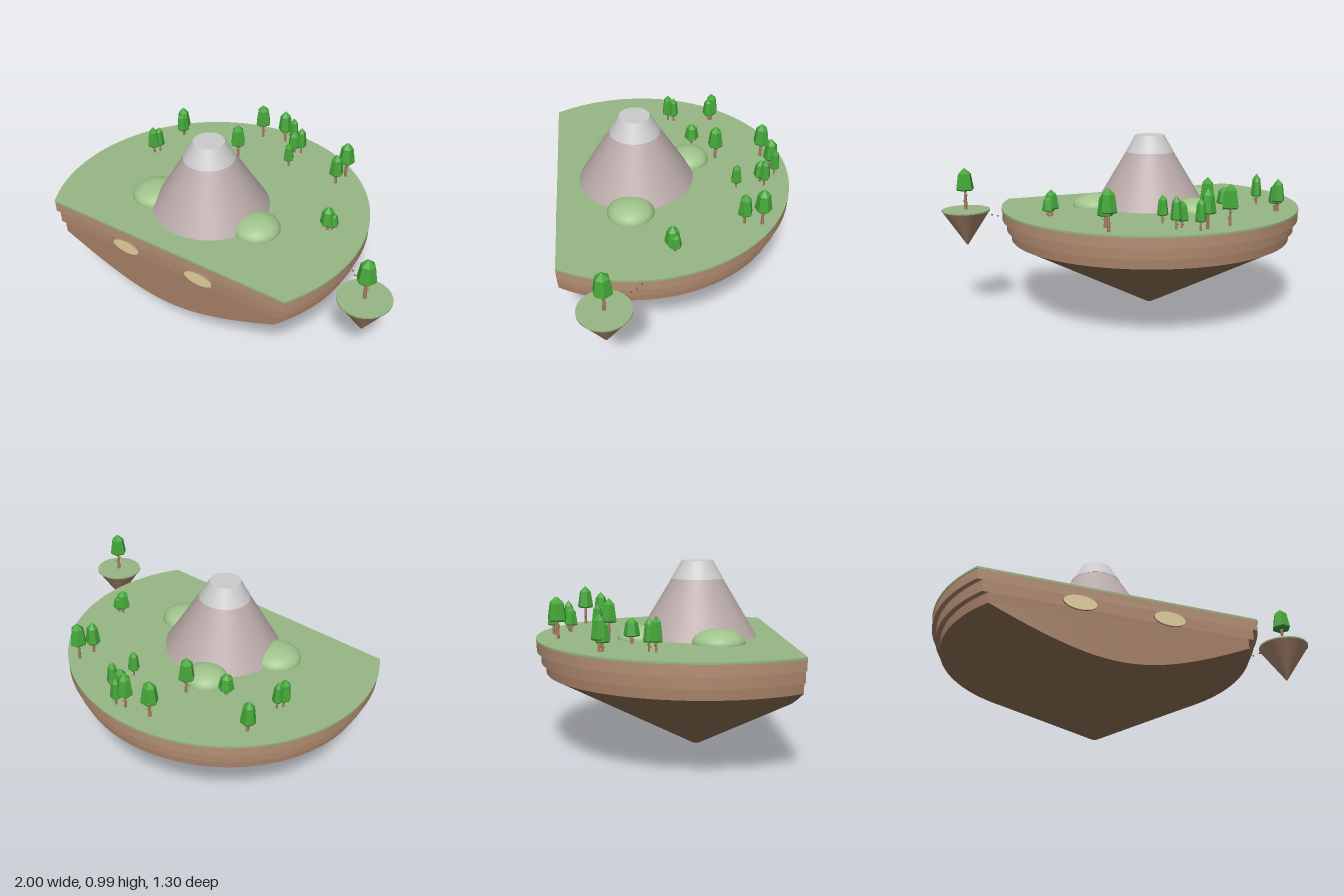
import * as THREE from 'three';
import { toCreasedNormals } from 'three/addons/utils/BufferGeometryUtils.js';

const CX = -0.155, CZ = 0.2; // axis of the main island
const CUT = 0.44;            // distance from the axis to the flat front
const TOP = 0.59;            // ground level

const paint = (color, opts = {}) => {
  const m = new THREE.MeshStandardMaterial(opts);
  m.color.set(color);
  return m;
};
const mats = {
  grass: paint(0x96b784),
  bush: paint(0xa0c48c),
  soil: [paint(0xb48f74), paint(0xad886d), paint(0xa58066)],
  rock: paint(0x957559),
  volcano: paint(0xb9aaa8),
  cap: paint(0xc0c0c0),
  trunk: paint(0xa87c62, { flatShading: true }),
  leaf: paint(0x45a83a, { flatShading: true }),
  pane: paint(0xe3d0a0),
  stone: paint(0x6e6258),
};

function add(parent, name, geometry, material, x = 0, y = 0, z = 0) {
  const mesh = new THREE.Mesh(geometry, material);
  mesh.name = name;
  mesh.position.set(x, y, z);
  parent.add(mesh);
  return mesh;
}

// Disc with a flat front, standing on y = 0
function cutDisc(radius, height) {
  const a = Math.asin(CUT / radius);
  const shape = new THREE.Shape();
  shape.absarc(0, 0, radius, -a, Math.PI + a, false);
  shape.closePath();
  const g = new THREE.ExtrudeGeometry(shape, { depth: height, bevelEnabled: false, curveSegments: 80 });
  g.rotateX(-Math.PI / 2);
  return toCreasedNormals(g, 0.5);
}

// Surface between two rows of points
function strip(low, high) {
  const g = new THREE.BufferGeometry().setFromPoints([...low, ...high]);
  const n = low.length, index = [];
  for (let i = 0; i < n - 1; i++) index.push(i, n + i, n + i + 1, i, n + i + 1, i + 1);
  g.setIndex(index);
  g.computeVertexNormals();
  return g;
}

// Inverted cone whose front is sliced off by a vertical plane
function addUnderside(parent) {
  const R = 0.795, H = 0.41, tip = 0.022;
  const a = Math.asin(CUT / R);
  const angles = [];
  for (let i = 0; i < 40; i++) angles.push(a + (Math.PI - 2 * a) * i / 40);
  for (let i = 0; i <= 80; i++) angles.push(Math.PI - a + (Math.PI + 2 * a) * i / 80);
  const at = (r, t, y) => new THREE.Vector3(r * Math.cos(t), y, r * Math.sin(t));
  const reach = t => (Math.sin(t) > 0 ? Math.min(R, CUT / Math.sin(t)) : R);
  const rim = angles.map(t => at(reach(t), t, H * (reach(t) - tip) / (R - tip)));
  add(parent, 'rockUnderside', strip(angles.map(t => at(tip, t, 0)), rim), mats.rock);
  const front = rim.slice(0, 41);
  add(parent, 'rockFrontFace', strip(front, front.map(p => p.clone().setY(H))), mats.soil[2]);
  const cap = new THREE.CircleGeometry(tip, 32).rotateX(Math.PI / 2);
  add(parent, 'rockTip', cap, mats.rock);
}

// Low-poly tree: thin trunk, twig stubs, six-sided crown
function makeTree(x, z, r, top, turn) {
  const tree = new THREE.Group();
  tree.name = 'tree';
  tree.position.set(x, TOP, z);
  tree.rotation.y = turn;
  const total = top - TOP, h = Math.min(0.125, total * 0.72), base = total - h;
  const k = r / 0.045;
  add(tree, 'trunk', new THREE.CylinderGeometry(0.006 * k, 0.009 * k, base + 0.02, 6), mats.trunk, 0, (base + 0.02) / 2, 0);
  for (const [f, side] of [[0.45, 1], [0.7, -1]]) {
    const twig = add(tree, 'twig', new THREE.CylinderGeometry(0.002, 0.003, 0.018, 5), mats.trunk, side * 0.011 * k, base * f, 0);
    twig.rotation.z = -side * 0.9;
  }
  const profile = [[0, 0], [0.88, 0], [1, 0.06], [0.72, 0.74], [0, 1]]
    .map(([u, v]) => new THREE.Vector2(u * r, v * h));
  add(tree, 'crown', new THREE.LatheGeometry(profile, 6), mats.leaf, 0, base, 0);
  return tree;
}

export function createModel() {
  const model = new THREE.Group();
  model.name = 'floatingIsland';

  // Main island: grass, stepped soil, rock
  const island = new THREE.Group();
  island.name = 'mainIsland';
  island.position.set(CX, 0, CZ);
  model.add(island);
  add(island, 'grassTop', cutDisc(0.848, 0.01), mats.grass, 0, 0.58, 0);
  [[0.845, 0.525, 0.055], [0.822, 0.465, 0.06], [0.797, 0.41, 0.055]].forEach(([r, y, h], i) =>
    add(island, 'soilLayer', cutDisc(r, h), mats.soil[i], 0, y, 0));
  addUnderside(island);

  // Volcano with a paler cap
  add(island, 'volcano', new THREE.CylinderGeometry(0.132, 0.315, 0.305, 64, 1, true), mats.volcano, 0, TOP + 0.1525, 0);
  add(island, 'volcanoCap', new THREE.CylinderGeometry(0.082, 0.137, 0.095, 64), mats.cap, 0, 0.9375, 0);

  // Rounded bushes at the foot of the volcano
  for (const [x, z, r] of [[-0.45, 0.285, 0.135], [0.165, 0.25, 0.125], [-0.293, -0.107, 0.113]]) {
    const bush = add(model, 'bush', new THREE.SphereGeometry(1, 40, 14, 0, Math.PI * 2, 0, Math.PI / 2), mats.bush, x, TOP, z);
    bush.scale.set(r, 0.07, r);
  }

  // Oval windows in the flat front
  for (const x of [-0.385, 0.075]) {
    const frame = new THREE.CylinderGeometry(1, 1, 0.016, 48).rotateX(Math.PI / 2);
    add(model, 'windowFrame', frame, mats.soil[1], x, 0.495, 0.639).scale.set(0.085, 0.039, 1);
    add(model, 'windowPane', new THREE.CircleGeometry(1, 48), mats.pane, x, 0.495, 0.648).scale.set(0.083, 0.037, 1);
  }

  // Small island
  const islet = new THREE.Group();
  islet.name = 'smallIsland';
  islet.position.set(0.866, 0, 0.412);
  model.add(islet);
  add(islet, 'isletGrass', new THREE.CylinderGeometry(0.132, 0.132, 0.008, 48), mats.grass, 0, TOP - 0.004, 0);
  add(islet, 'isletRock', new THREE.CylinderGeometry(0.13, 0.004, 0.192, 48), mats.soil[0], 0, 0.486, 0);

  // Stepping stones between the islands
  for (let i = 0; i < 5; i++) {
    const t = i / 4;
    add(model, 'steppingStone', new THREE.SphereGeometry(0.005, 8, 6), mats.stone,
      0.674 + 0.101 * t, 0.582 - 0.01 * Math.sin(Math.PI * t), 0.2 + 0.11 * t);
  }

  // Trees: x, z, crown radius, top height
  [
    [-0.283, -0.524, 0.046, 0.805], [-0.144, -0.55, 0.042, 0.795], [-0.096, -0.567, 0.029, 0.755],
    [-0.037, -0.476, 0.038, 0.73], [0, -0.492, 0.031, 0.76], [0.005, -0.337, 0.031, 0.74],
    [0.33, -0.42, 0.046, 0.81], [0.315, -0.33, 0.04, 0.777], [-0.29, -0.262, 0.044, 0.80],
    [-0.455, -0.145, 0.042, 0.72], [-0.705, -0.295, 0.04, 0.77], [-0.70, -0.28, 0.038, 0.745],
    [-0.71, -0.064, 0.028, 0.75], [-0.727, -0.032, 0.035, 0.76], [0.476, 0.059, 0.042, 0.733],
    [0.497, 0.048, 0.034, 0.70], [0.866, 0.412, 0.05, 0.823],
  ].forEach(([x, z, r, top], i) => model.add(makeTree(x, z, r, top, Math.PI / 6 + i * 0.4)));

  return model;
}
